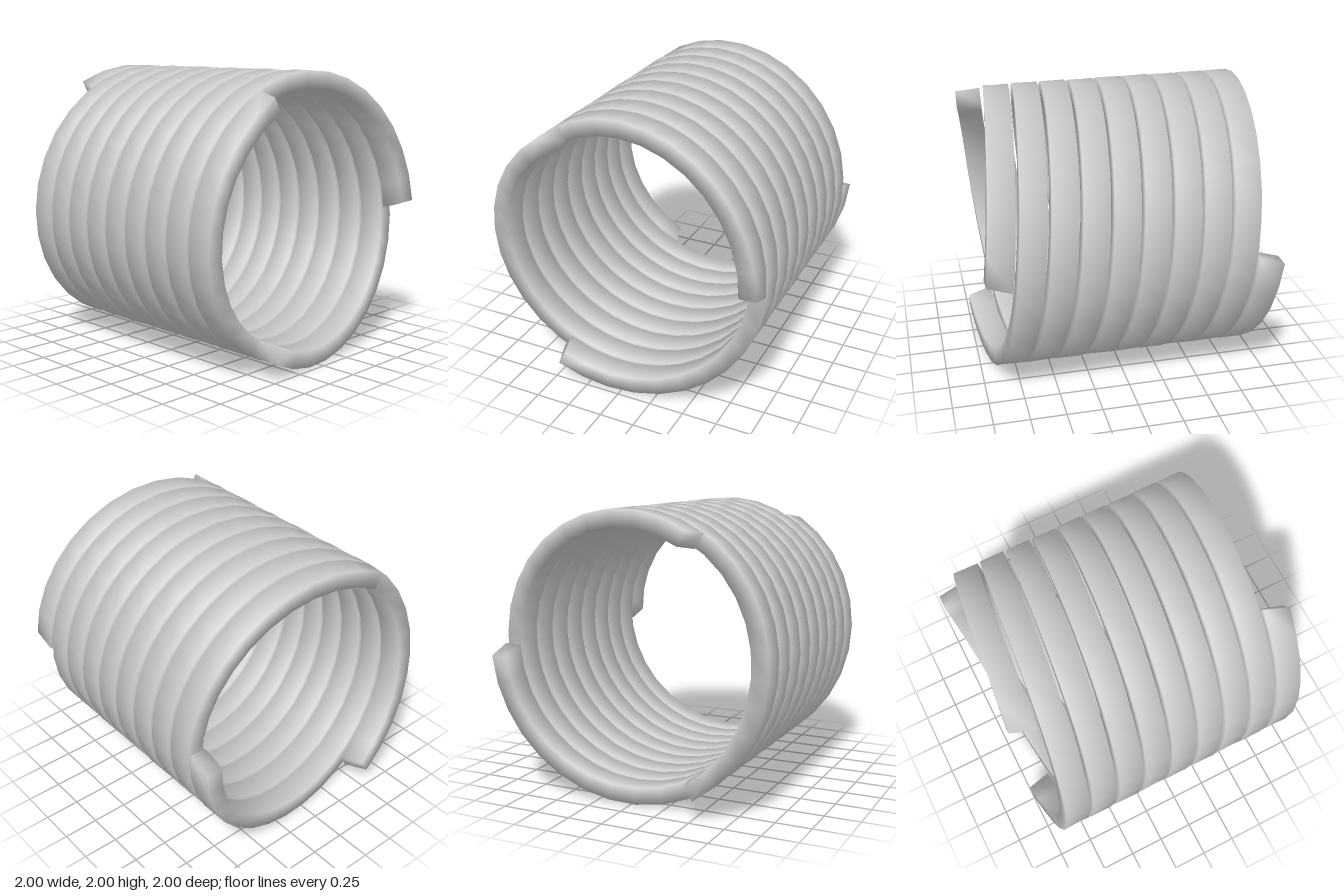
import * as THREE from 'three';

const STRANDS = 3, TURNS = 3, SEGMENTS = 32 * TURNS;
const OUTER = 1, INNER = 0.882, HALF_WIDTH = 0.086;
const LENGTH = 2 * (1 - HALF_WIDTH);   // between the centres of both ends
const SLANT = 0.35;                    // lean of the cross-section along the coil

// One strand: a rectangular bar swept along a helix, wound from front to back
function strandGeometry() {
  const section = [[OUTER, 1], [OUTER, -1], [INNER, -1], [INNER, 1]];
  const positions = [], index = [];

  for (let i = 0; i <= SEGMENTS; i++) {
    const t = i / SEGMENTS;
    for (const [radius, side] of section) {
      const s = side * HALF_WIDTH;
      const angle = t * TURNS * Math.PI * 2 + s * SLANT;
      positions.push(radius * Math.cos(angle), radius * Math.sin(angle), LENGTH * (0.5 - t) + s);
    }
  }
  for (let i = 0; i < SEGMENTS; i++) {
    for (let k = 0; k < 4; k++) {
      const a = i * 4 + k, b = i * 4 + (k + 1) % 4;
      index.push(a, b, a + 4, b, b + 4, a + 4);
    }
  }
  // End caps, sharing the corners so that the shading stays soft
  const e = SEGMENTS * 4;
  index.push(0, 2, 1, 0, 3, 2, e, e + 1, e + 2, e, e + 2, e + 3);

  const geometry = new THREE.BufferGeometry();
  geometry.setAttribute('position', new THREE.Float32BufferAttribute(positions, 3));
  geometry.setIndex(index);
  geometry.computeVertexNormals();
  return geometry;
}

export function createModel() {
  const group = new THREE.Group();
  group.name = 'tripleCoil';
  const material = new THREE.MeshStandardMaterial({ color: 0xcccccc });
  const geometry = strandGeometry();

  // Three interleaved strands, a third of a turn apart
  for (let n = 0; n < STRANDS; n++) {
    const strand = new THREE.Mesh(geometry, material);
    strand.name = `coilStrand${n + 1}`;
    strand.position.y = OUTER;
    strand.rotation.z = n * Math.PI * 2 / STRANDS;
    group.add(strand);
  }
  return group;
}
